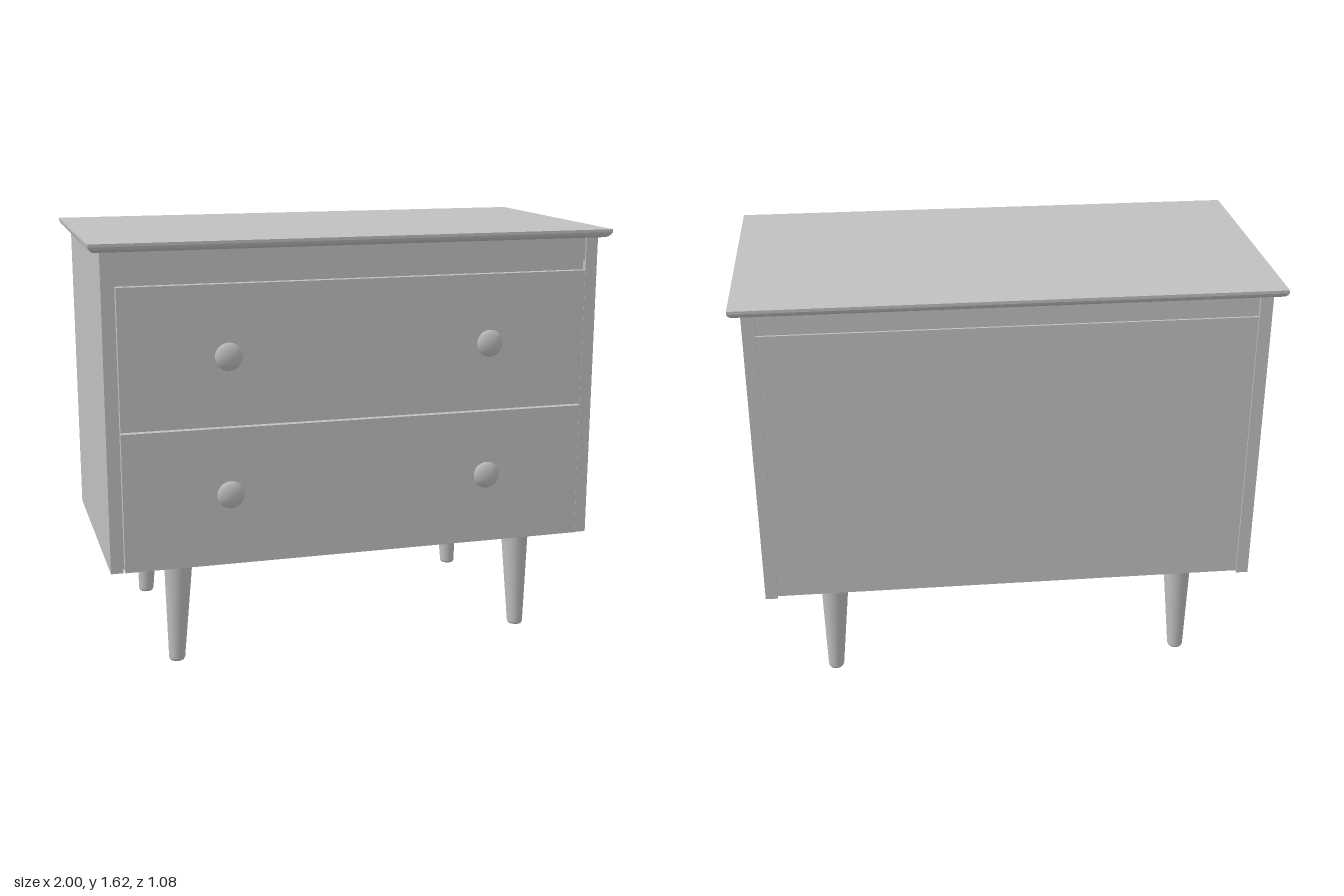
import * as THREE from 'three';

export function createModel() {
  const root = new THREE.Group();
  root.name = 'chestOfDrawers';
  const grey = new THREE.MeshStandardMaterial({ color: 0xc0c0c0 });
  grey.name = 'plainGrey';

  function add(name, geometry, parent = root) {
    const mesh = new THREE.Mesh(geometry, grey);
    mesh.name = name;
    parent.add(mesh);
    return mesh;
  }

  // Box given by its lower and upper limits on each axis
  function slab(name, [x0, x1], [y0, y1], [z0, z1]) {
    const mesh = add(name, new THREE.BoxGeometry(x1 - x0, y1 - y0, z1 - z0));
    mesh.position.set((x0 + x1) / 2, (y0 + y1) / 2, (z0 + z1) / 2);
    return mesh;
  }

  // Table top: square upper edge, rounded in underneath; stacked rectangular rings
  const rings = [[1.588, 0.022], [1.592, 0.012], [1.6, 0.004], [1.609, 0], [1.62, 0]];
  const corners = rings.map(([y, inset]) => {
    const x = 1 - inset, back = -0.54 + inset, front = 0.525 - inset;
    return [[-x, y, front], [x, y, front], [x, y, back], [-x, y, back]];
  });
  const positions = [];
  const quad = (a, b, c, d) => positions.push(...a, ...b, ...c, ...a, ...c, ...d);
  for (let i = 0; i < rings.length - 1; i++) {
    for (let k = 0; k < 4; k++) {
      const n = (k + 1) % 4;
      quad(corners[i][k], corners[i][n], corners[i + 1][n], corners[i + 1][k]);
    }
  }
  quad(...corners[rings.length - 1]);
  quad(...[...corners[0]].reverse());
  const topGeometry = new THREE.BufferGeometry();
  topGeometry.setAttribute('position', new THREE.Float32BufferAttribute(positions, 3));
  topGeometry.computeVertexNormals();
  add('top', topGeometry);

  // Carcass
  slab('leftSide', [0.91, 0.957], [0.4, 1.59], [-0.497, 0.488]);
  slab('rightSide', [-0.957, -0.91], [0.4, 1.59], [-0.497, 0.488]);
  slab('bottomPanel', [-0.91, 0.91], [0.41, 0.44], [-0.48, 0.47]);
  slab('backPanel', [-0.91, 0.91], [0.405, 1.5], [-0.488, -0.46]);
  slab('backRail', [-0.91, 0.91], [1.502, 1.59], [-0.484, -0.46]);
  slab('frontRail', [-0.91, 0.91], [1.5, 1.59], [0.44, 0.48]);
  slab('frontBacking', [-0.91, 0.91], [0.42, 1.51], [0.43, 0.466]);

  // Drawer fronts
  slab('lowerDrawer', [-0.905, 0.905], [0.402, 0.928], [0.45, 0.497]);
  slab('upperDrawer', [-0.905, 0.905], [0.935, 1.462], [0.45, 0.497]);

  // Turned knobs
  const knobProfile = [
    [0.04, 0], [0.038, 0.008], [0.037, 0.014], [0.042, 0.018], [0.05, 0.021], [0.052, 0.025],
    [0.05, 0.029], [0.04, 0.036], [0.025, 0.041], [0.012, 0.043], [0, 0.0435],
  ].map(([r, y]) => new THREE.Vector2(r, y));
  const knobGeometry = new THREE.LatheGeometry(knobProfile, 32);
  knobGeometry.rotateX(Math.PI / 2);
  for (const x of [-0.507, 0.507]) {
    for (const y of [0.68, 1.2]) add('knob', knobGeometry).position.set(x, y, 0.497);
  }

  // Tapered legs, leaning slightly outward with a small chamfer at the foot
  for (const side of [-1, 1]) {
    for (const z of [0.393, -0.4]) {
      const leg = new THREE.Group();
      leg.name = 'leg';
      const shaft = new THREE.CylinderGeometry(0.055, 0.031, 0.405, 32).translate(0, 0.2105, 0);
      const foot = new THREE.CylinderGeometry(0.031, 0.027, 0.008, 32).translate(0, 0.004, 0);
      for (const [name, geometry] of [['legShaft', shaft], ['legFoot', foot]]) {
        const p = geometry.attributes.position;
        for (let i = 0; i < p.count; i++) {
          p.setX(i, p.getX(i) + side * (0.704 - 0.035 * p.getY(i)));
        }
        add(name, geometry, leg);
      }
      leg.position.z = z;
      root.add(leg);
    }
  }

  return root;
}
